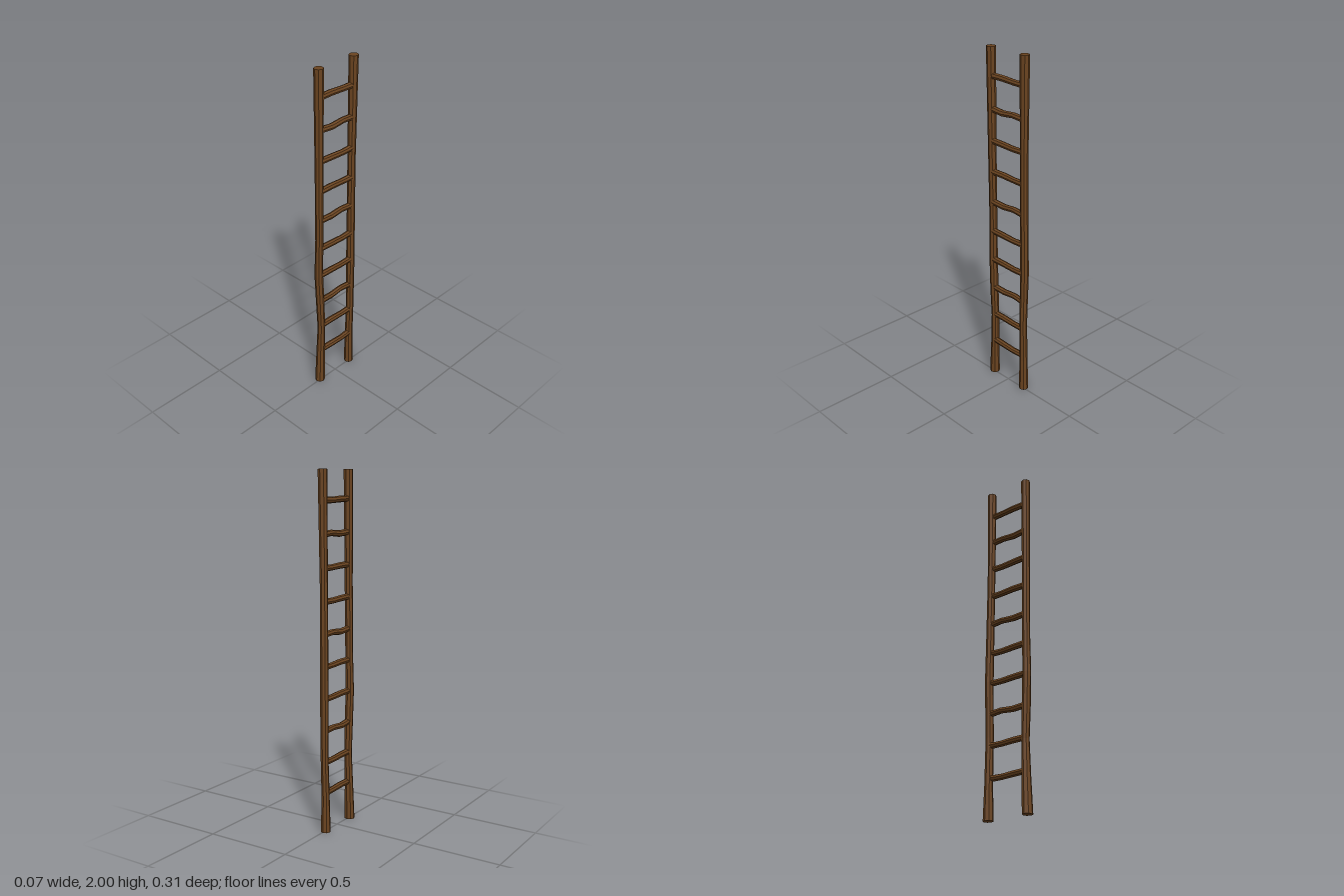
import * as THREE from 'three';

// Eight-sided pole whose rings are shifted and scaled at each station [y, x, z, radius]
function pole(stations, sides, material) {
  const n = stations.length - 1;
  const g = new THREE.CylinderGeometry(1, 1, n, sides, n);
  const p = g.attributes.position;
  for (let i = 0; i < p.count; i++) {
    const [y, x, z, r] = stations[Math.round(p.getY(i) + n / 2)];
    p.setXYZ(i, x + p.getX(i) * r, y, z + p.getZ(i) * r);
  }
  g.computeVertexNormals();
  return new THREE.Mesh(g, material);
}

export function createModel() {
  const ladder = new THREE.Group();
  ladder.name = 'ladder';
  const wood = new THREE.MeshStandardMaterial({ color: 0x6b4420, flatShading: true });

  // Side rails, slightly crooked
  const frontRail = pole([
    [0.005, -0.006, 0.125, 0.029], [0.2, -0.005, 0.119, 0.025], [0.4, -0.002, 0.113, 0.022],
    [0.58, -0.002, 0.12, 0.024], [0.77, -0.004, 0.127, 0.024], [1.0, -0.001, 0.123, 0.022],
    [1.4, 0.003, 0.123, 0.023], [2, 0.007, 0.123, 0.026],
  ], 8, wood);
  frontRail.name = 'frontRail';
  const backRail = pole([
    [0.005, -0.006, -0.124, 0.028], [0.2, -0.005, -0.123, 0.023], [0.45, 0.001, -0.124, 0.022],
    [0.77, -0.002, -0.128, 0.024], [1.0, 0, -0.126, 0.023],
    [1.4, 0.003, -0.123, 0.022], [2, 0.007, -0.126, 0.026],
  ], 8, wood);
  backRail.name = 'backRail';
  ladder.add(frontRail, backRail);

  // Ten rungs, each bowed a little
  for (let i = 0; i < 10; i++) {
    const bow = 0.004 * Math.sin(i * 2.1 + 0.5);
    const sway = 0.004 * Math.cos(i * 1.7);
    const rung = pole([
      [-0.122, 0, 0.001, 0.018], [-0.045, sway, bow, 0.017],
      [0.035, sway, -bow, 0.018], [0.122, 0, -0.003, 0.018],
    ], 8, wood);
    rung.rotation.x = Math.PI / 2;
    rung.position.set(-0.002 + i * 0.001, 0.23 + i * 0.179, 0);
    rung.name = 'rung' + (i + 1);
    ladder.add(rung);
  }
  return ladder;
}
